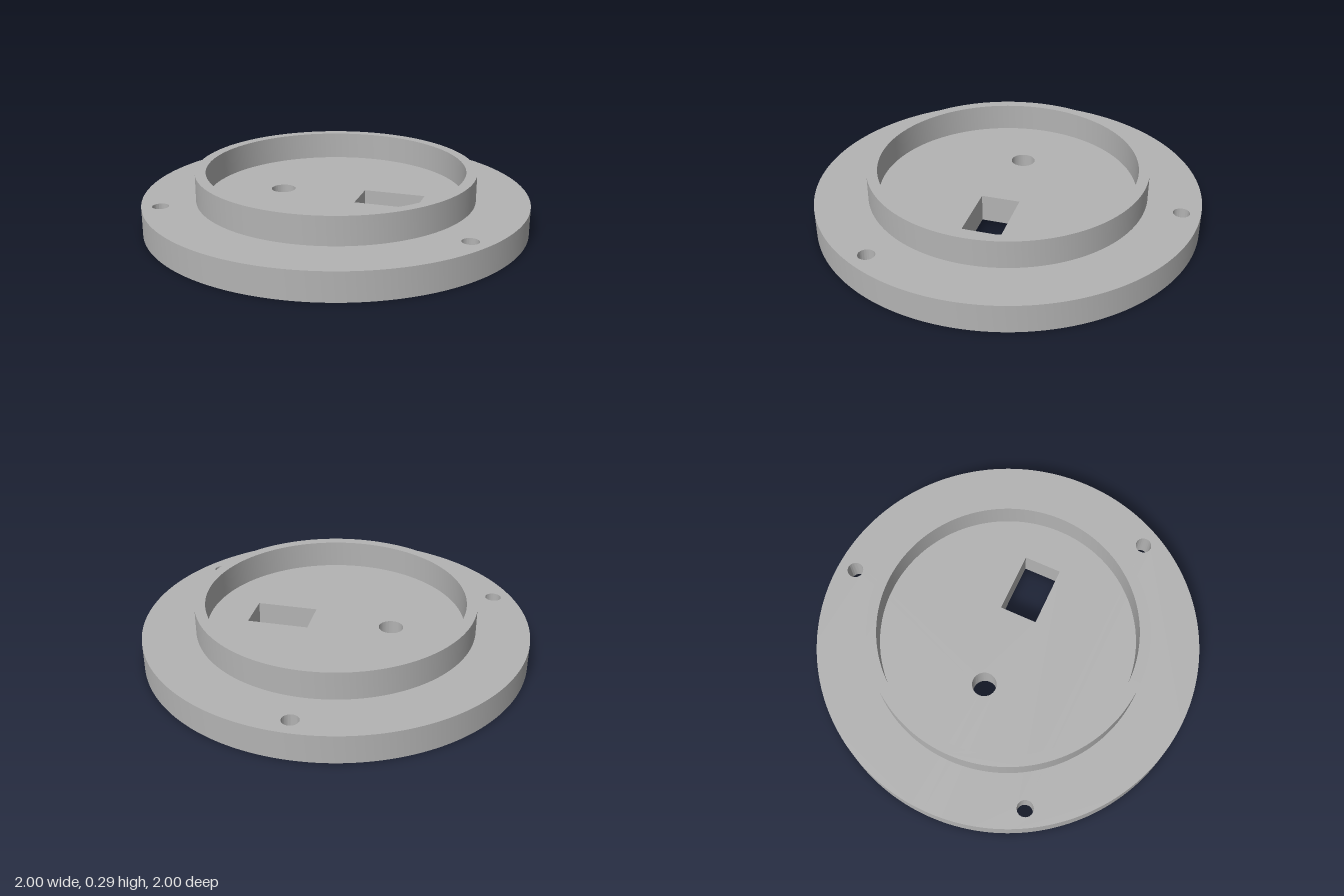
import * as THREE from 'three';
import { toCreasedNormals } from 'three/addons/utils/BufferGeometryUtils.js';

const circle = (Type, x, z, r) => new Type().absarc(x, -z, r, 0, Math.PI * 2, false);

// Extrude a plan outline upward from height y
function plate(name, shape, y, height, material) {
  const geometry = new THREE.ExtrudeGeometry(shape, { depth: height, bevelEnabled: false, curveSegments: 96 });
  geometry.rotateX(-Math.PI / 2);
  const mesh = new THREE.Mesh(toCreasedNormals(geometry, 0.6), material);
  mesh.name = name;
  mesh.position.y = y;
  return mesh;
}

export function createModel() {
  const group = new THREE.Group();
  group.name = 'flangedCover';
  const grey = new THREE.MeshStandardMaterial({ color: 0xb3b3b3 });
  grey.name = 'grey';
  const baseHeight = 0.145;

  // Base disc with three screw holes, a round hole and a rectangular slot
  const disc = circle(THREE.Shape, 0, 0, 1);
  for (let i = 0; i < 3; i++) {
    const a = -Math.PI / 2 + (i * Math.PI * 2) / 3;
    disc.holes.push(circle(THREE.Path, 0.904 * Math.cos(a), 0.904 * Math.sin(a), 0.042));
  }
  disc.holes.push(circle(THREE.Path, -0.292, 0, 0.063));
  disc.holes.push(new THREE.Path([[0.13, -0.1], [0.45, -0.1], [0.45, 0.1], [0.13, 0.1]]
    .map(([x, y]) => new THREE.Vector2(x, y))));
  group.add(plate('baseDisc', disc, 0, baseHeight, grey));

  // Raised collar
  const collar = circle(THREE.Shape, 0, 0, 0.725);
  collar.holes.push(circle(THREE.Path, 0, 0, 0.67));
  group.add(plate('collar', collar, baseHeight, 0.145, grey));

  return group;
}
